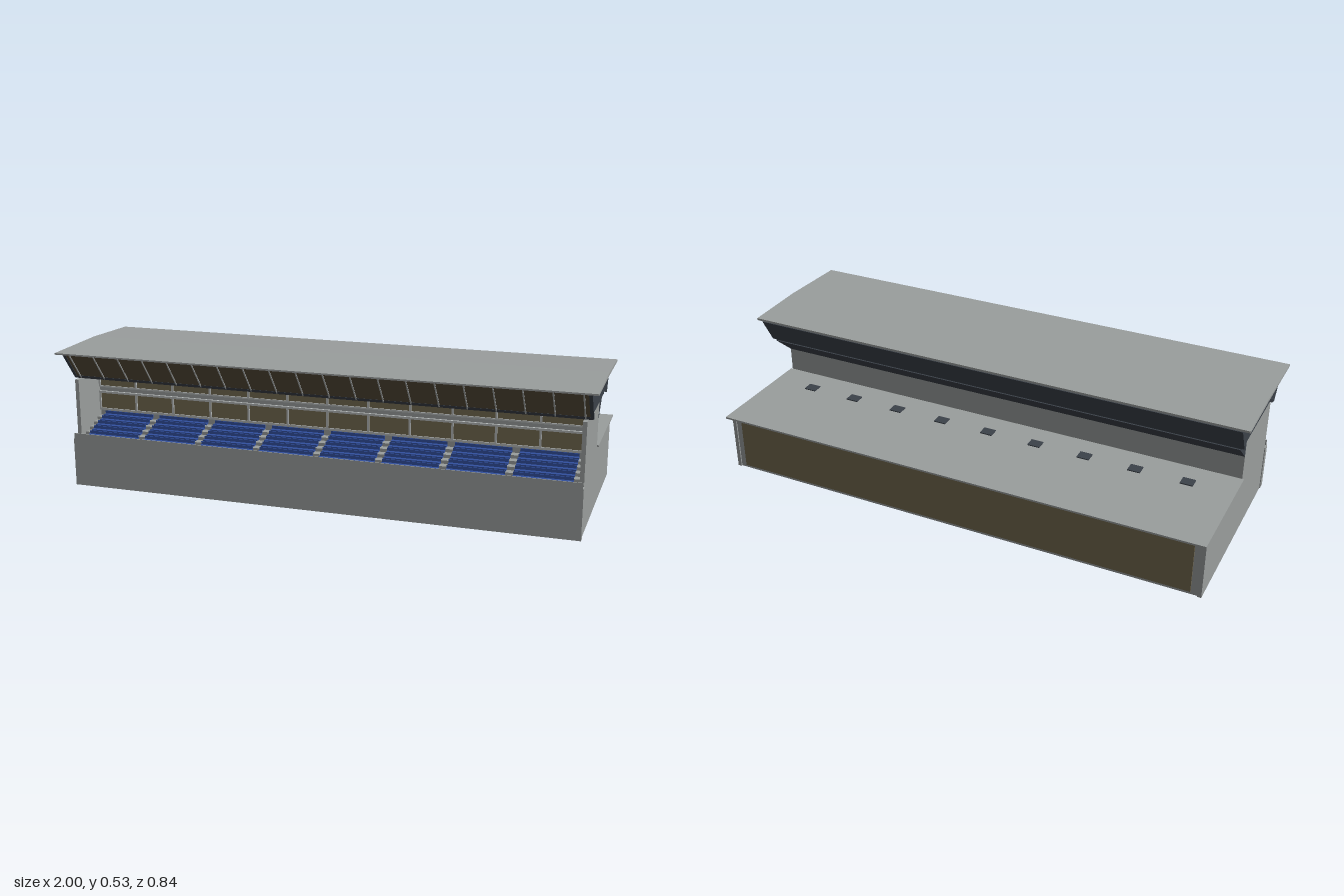
import * as THREE from 'three';

export function createModel() {
  const model = new THREE.Group();
  const mat = (name, color) => {
    const m = new THREE.MeshStandardMaterial({ color });
    m.name = name;
    return m;
  };
  const concrete = mat('concrete grey', 0x9a9e9d);
  const dark = mat('dark slate', 0x3c424a);
  const glass = mat('bronze glazing', 0x73694f);
  const tinted = mat('dark bronze glazing', 0x5a4f3c);
  const trim = mat('light trim', 0xb4b8b8);
  const blue = mat('seat blue', 0x3250a0);

  const add = (name, geometry, material, parent = model) => {
    const mesh = new THREE.Mesh(geometry, material);
    mesh.name = name;
    parent.add(mesh);
    return mesh;
  };
  // Box given by its minimum and maximum on each axis
  const box = (name, material, x0, x1, y0, y1, z0, z1, parent) =>
    add(name, new THREE.BoxGeometry(x1 - x0, y1 - y0, z1 - z0)
      .translate((x0 + x1) / 2, (y0 + y1) / 2, (z0 + z1) / 2), material, parent);
  // Profile of [z, y] points swept along x
  const sweep = (name, material, points, width, x = 0, parent = model) => {
    const shape = new THREE.Shape(points.map(([z, y]) => new THREE.Vector2(z, y)));
    const g = new THREE.ExtrudeGeometry(shape, { depth: width, bevelEnabled: false });
    g.translate(0, 0, -width / 2).rotateY(-Math.PI / 2).translate(x, 0, 0);
    return add(name, g, material, parent);
  };

  // Main hall, with end walls reaching forward beside the seating
  box('mainHall', concrete, -0.945, 0.945, 0, 0.408, 0.027, 0.2);
  for (const s of [-1, 1]) {
    box('endWall', concrete, s * 0.9525 - 0.0075, s * 0.9525 + 0.0075, 0, 0.408, 0.027, 0.355);
  }

  // Front parapet and its thin upstand
  box('frontParapet', concrete, -0.963, 0.963, 0, 0.183, 0.355, 0.383);
  box('parapetUpstand', concrete, -0.96, 0.96, 0.183, 0.205, 0.379, 0.383);

  // Terraced steps with eight blocks of seats on each row
  const seating = new THREE.Group();
  seating.name = 'seating';
  model.add(seating);
  const rows = 5, stepDepth = 0.031;
  for (let r = 0; r < rows; r++) {
    const front = 0.355 - r * stepDepth;
    const top = 0.185 + r * 0.012;
    box('terraceStep', concrete, -0.945, 0.945, 0, top, front - stepDepth, front, seating);
    for (let b = 0; b < 8; b++) {
      const x = -0.819 + b * 0.234;
      box('seatBench', blue, x - 0.103, x + 0.103, top + 0.003, top + 0.009,
        front - 0.024, front - 0.007, seating);
      box('seatBack', blue, x - 0.103, x + 0.103, top + 0.006, top + 0.02,
        front - 0.028, front - 0.024, seating);
    }
  }

  // Two bands of windows behind the seats
  const windows = new THREE.Group();
  windows.name = 'standWindows';
  model.add(windows);
  for (const [y0, y1] of [[0.262, 0.326], [0.352, 0.408]]) {
    box('windowBand', glass, -0.945, 0.945, y0, y1, 0.2, 0.204, windows);
    for (let i = 0; i <= 12; i++) {
      const x = -0.942 + i * 0.157;
      box('windowPost', trim, x - 0.004, x + 0.004, y0, y1, 0.2, 0.209, windows);
    }
  }
  box('windowRail', trim, -0.945, 0.945, 0.324, 0.332, 0.2, 0.209, windows);
  box('windowRail', trim, -0.945, 0.945, 0.348, 0.354, 0.2, 0.209, windows);
  box('windowSill', trim, -0.945, 0.945, 0.256, 0.264, 0.2, 0.209, windows);

  // Upper storey and the wedge carrying its rear overhang
  box('upperStorey', dark, -0.965, 0.965, 0.408, 0.516, -0.057, 0.32);
  sweep('rearOverhang', dark, [[0.027, 0.33], [0.027, 0.409], [-0.063, 0.409]], 1.92);

  // Outward-leaning glazing at the front, dark screen at the rear
  sweep('frontGlazing', tinted, [[0.318, 0.41], [0.323, 0.41], [0.404, 0.515], [0.398, 0.515]], 1.94);
  for (const s of [-1, 1]) {
    sweep('glazingEndPost', dark, [[0.316, 0.41], [0.325, 0.41], [0.406, 0.515], [0.397, 0.515]],
      0.012, s * 0.972);
  }
  for (let i = 0; i < 20; i++) {
    sweep('glazingRib', trim, [[0.322, 0.41], [0.326, 0.41], [0.406, 0.514], [0.402, 0.514]],
      0.005, -0.95 + i * 0.1);
  }
  sweep('glazingSill', dark, [[0.312, 0.408], [0.324, 0.408], [0.332, 0.419], [0.318, 0.419]], 1.95);
  sweep('rearScreen', dark, [[-0.057, 0.415], [-0.064, 0.415], [-0.12, 0.514], [-0.112, 0.514]], 1.95);

  // Shallow pitched main roof
  sweep('mainRoof', concrete, [[0.421, 0.515], [0.421, 0.521], [0.13, 0.53],
    [-0.119, 0.524], [-0.119, 0.516], [0.13, 0.519]], 2);

  // Rear wing, open underneath
  const wing = new THREE.Group();
  wing.name = 'rearWing';
  model.add(wing);
  for (const s of [-1, 1]) {
    box('wingEndWall', concrete, s * 0.9525 - 0.0075, s * 0.9525 + 0.0075, 0, 0.231, -0.39, 0.027, wing);
  }
  box('wingBackWall', concrete, -0.945, 0.945, 0, 0.231, -0.385, -0.375, wing);
  box('wingBackGlazing', glass, -0.92, 0.92, 0.012, 0.222, -0.39, -0.385, wing);
  box('wingRoof', concrete, -0.967, 0.967, 0.23, 0.237, -0.421, 0.027, wing);
  for (let i = -4; i <= 4; i++) {
    const x = i * 0.198;
    box('roofLight', dark, x - 0.024, x + 0.024, 0.237, 0.241, -0.099, -0.058, wing);
  }

  return model;
}
